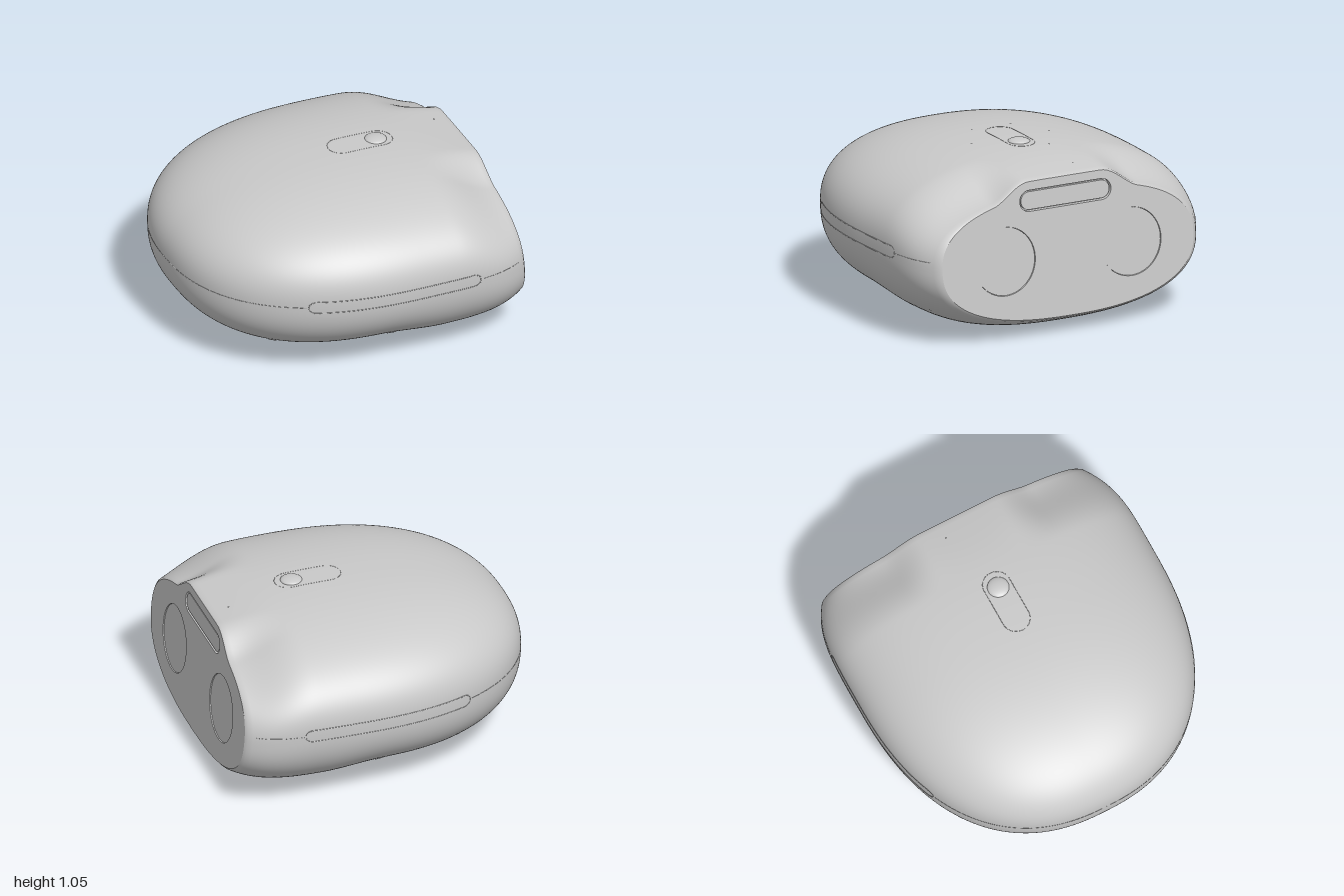
import * as THREE from 'three';
import { mergeGeometries, toCreasedNormals } from 'three/addons/utils/BufferGeometryUtils.js';

const { lerp, smoothstep } = THREE.MathUtils;
const V = (x, y, z) => new THREE.Vector3(x, y, z);

// Hull profiles along x: half width, top, bottom and height of the widest line
const END = 0.948, SLOPE = 0.088, P = 2.35, TOP_N = 2.35, BOTTOM_N = 2.45;
const HX = 0.03, HR = 0.445; // centre and radius of the opening underneath
const round = (s, n) => Math.pow(Math.max(0, 1 - Math.pow(Math.abs(s), n)), 1 / n);
const nose = (x, c, a) => round(Math.max(0, (c - x) / a), P);
const after = (x, c, len, p) => Math.pow(Math.max(0, (x - c) / len), p);
const width = x => Math.max(0.002, nose(x, 0.25, 1.25) - 0.13 * after(x, 0.25, 0.7, 4.2));
const topLine = x => 0.552 + 0.488 * nose(x, 0.15, 1.15) - 0.075 * after(x, 0.15, 0.8, 2.2);
const bottomLine = x => 0.548 - 0.498 * nose(x, -0.05, 0.95)
  - 0.04 * smoothstep(x, 0.05, 0.45) + 0.1 * after(x, 0.5, 0.448, 2.3);
const endBlend = x => smoothstep(x, 0.5, END);
const middle = x => lerp(0.55, 0.5, endBlend(x));

function bottomY(x, z) {
  const d = Math.hypot(x - HX, z);
  const rim = 0.018 * Math.exp(-(((d - HR) / 0.12) ** 2)) * z * z / (d * d + 0.001);
  return middle(x) - (middle(x) - bottomLine(x)) * round(z / width(x), BOTTOM_N) - rim;
}
function topY(x, z) {
  const t = endBlend(x), m = middle(x), h = topLine(x) - m, s = z / width(x);
  const low = m + lerp(h, 0.385, t) * round(s, TOP_N);
  const high = m + h * round(s * (1 - 0.7 * t), TOP_N);
  return lerp(low, high, 1 - smoothstep(Math.abs(z), 0.25, 0.5));
}
function sideZ(x, y) {
  const m = middle(x);
  return y > m ? width(x) * round((y - m) / (topLine(x) - m), TOP_N)
    : width(x) * round((m - y) / (m - bottomLine(x)), BOTTOM_N);
}
function hullPoint(x, a) {
  const z = width(x) * Math.cos(a);
  const y = Math.sin(a) >= 0 ? topY(x, z) : bottomY(x, z);
  return V(x + SLOPE * (0.53 - y) * endBlend(x), y, z);
}
// Rounded edge where the hull meets the tilted end plate
function endPoint(a) {
  const p = hullPoint(END, a);
  p.y = 0.52 + (p.y - 0.52) * 0.985;
  p.z *= 0.985;
  p.x = 0.995 - SLOPE * p.y;
  return p;
}

// Closed rings of points joined into a surface; skip() may drop triangles
function grid(rows, cols, point, skip = () => false) {
  const pts = [], index = [];
  for (let i = 0; i < rows; i++) for (let j = 0; j < cols; j++) pts.push(point(i, j));
  const add = (a, b, c) => { if (!skip(pts[a], pts[b], pts[c])) index.push(a, b, c); };
  for (let i = 0; i < rows - 1; i++) for (let j = 0; j < cols; j++) {
    const k = (j + 1) % cols, a = i * cols + j, b = i * cols + k;
    add(a, a + cols, b);
    add(b, a + cols, b + cols);
  }
  const g = new THREE.BufferGeometry().setFromPoints(pts);
  g.setIndex(index);
  g.computeVertexNormals();
  return g;
}

function stadium(Kind, cx, cy, half, r) {
  const s = new Kind();
  s.absarc(cx + half - r, cy, r, -Math.PI / 2, Math.PI / 2, false);
  s.absarc(cx - half + r, cy, r, Math.PI / 2, Math.PI * 1.5, false);
  s.closePath();
  return s;
}
function circle(Kind, cx, cy, r) {
  const s = new Kind();
  s.absarc(cx, cy, r, 0, Math.PI * 2, false);
  return s;
}
// Points along a stadium outline, without repeats
const loop = (cx, cy, half, r) => stadium(THREE.Path, cx, cy, half, r).getSpacedPoints(60).slice(0, -1)
  .filter((p, i, all) => i === 0 || p.distanceTo(all[i - 1]) > 0.003);
const tube = (pts, r, closed) =>
  new THREE.TubeGeometry(new THREE.CatmullRomCurve3(pts, closed), pts.length * 2, r, 5, closed);

// Small disc lying on the top (up = 1) or bottom (up = -1) surface
function disc(x, z, r, surface, up, segments) {
  const e = 0.004;
  const n = V(-(surface(x + e, z) - surface(x - e, z)) / (2 * e), 1,
    -(surface(x, z + e) - surface(x, z - e)) / (2 * e)).normalize().multiplyScalar(up);
  const g = new THREE.CircleGeometry(r, segments);
  g.applyQuaternion(new THREE.Quaternion().setFromUnitVectors(V(0, 0, 1), n));
  return g.translate(x + n.x * 0.003, surface(x, z) + n.y * 0.003, z + n.z * 0.003);
}

export function createModel() {
  const group = new THREE.Group();
  const shell = new THREE.MeshStandardMaterial({ color: 0xc9c9c9, side: THREE.DoubleSide });
  shell.name = 'shellGrey';
  const add = (name, geo, parent = group) => {
    const mesh = new THREE.Mesh(geo, shell);
    mesh.name = name;
    parent.add(mesh);
  };

  // Hull with a round opening underneath; angles are spread evenly along the rounded section
  const ROWS = 120, COLS = 180;
  add('hull', grid(ROWS + 1, COLS, (i, j) => {
    const a = j / COLS * Math.PI * 2;
    if (i === ROWS) return endPoint(a);
    const p = hullPoint(-1 + (END - 0.012 + 1) * Math.pow(i / (ROWS - 1), 1.6), a);
    const d = Math.hypot(p.x - HX, p.z);
    if (p.y < 0.35 && Math.abs(d - HR) < 0.022) {
      p.x = HX + (p.x - HX) * HR / d;
      p.z *= HR / d;
      p.y = bottomY(p.x, p.z);
    }
    return p;
  }, (a, b, c) => a.y < 0.35 && Math.hypot((a.x + b.x + c.x) / 3 - HX, (a.z + b.z + c.z) / 3) < HR - 0.003));

  // Tilted end plate with two round recesses and a slot
  const facePlane = new THREE.Matrix4().set(0, -SLOPE, 1, 0.995, 0, 1, 0, 0, -1, 0, 0, 0, 0, 0, 0, 1);
  const plate = (name, shape, front, depth) => add(name,
    new THREE.ExtrudeGeometry(shape, { depth, bevelEnabled: false, curveSegments: 40 })
      .translate(0, 0, front - depth).applyMatrix4(facePlane));
  const outline = [];
  for (let j = 0; j < COLS; j++) {
    const p = endPoint(j / COLS * Math.PI * 2);
    outline.push(new THREE.Vector2(-p.z, p.y));
  }
  const face = new THREE.Shape(outline);
  for (const s of [-1, 1]) {
    face.holes.push(circle(THREE.Path, s * 0.43, 0.5, 0.207));
    plate('roundPanel', circle(THREE.Shape, s * 0.43, 0.5, 0.205), -0.006, 0.02);
  }
  face.holes.push(stadium(THREE.Path, 0, 0.842, 0.312, 0.064));
  plate('slotPanel', stadium(THREE.Shape, 0, 0.842, 0.302, 0.054), -0.004, 0.02);
  plate('endPlate', face, 0, 0.03);
  add('endBacking', new THREE.ShapeGeometry(new THREE.Shape(outline))
    .translate(0, 0, -0.03).applyMatrix4(facePlane));

  // Lip and cavity of the opening: [radius, rise, flatness]
  const ringGrid = rings => grid(rings.length, 80, (i, j) => {
    const [r, off, flat] = rings[i], a = j / 80 * Math.PI * 2;
    const x = HX + r * Math.cos(a), z = r * Math.sin(a);
    return V(x, lerp(bottomY(x, z) + off, 0.36, flat), z);
  });
  add('openingLip', ringGrid([[0.47, -0.001, 0], [0.455, -0.001, 0], [0.44, 0.008, 0],
    [0.425, 0.025, 0], [0.41, 0.05, 0], [0.4, 0.085, 0]]));
  add('cavity', toCreasedNormals(ringGrid([[0.4, 0.085, 0], [0.42, 0, 1], [0.01, 0, 1]]), 0.6));

  // Hub, spokes and bracket inside the cavity
  const rotor = new THREE.Group();
  rotor.name = 'rotor';
  rotor.position.set(HX, 0.27, 0);
  group.add(rotor);
  add('hub', new THREE.CylinderGeometry(0.06, 0.08, 0.16, 32), rotor);
  add('hubRing', new THREE.TorusGeometry(0.11, 0.012, 8, 40).rotateX(Math.PI / 2), rotor);
  for (let i = 0; i < 8; i++) {
    const spoke = new THREE.BoxGeometry(0.33, 0.03, 0.012).translate(0.23, 0.05, 0);
    add('spoke', spoke.rotateY(i * Math.PI / 4 + 0.3), rotor);
  }
  for (const s of [-1, 1])
    add('bracket', new THREE.BoxGeometry(0.3, 0.05, 0.03).rotateZ(0.2).translate(-0.2, -0.04, s * 0.07), rotor);

  // Outlined strips and seam lines
  for (const s of [-1, 1]) {
    add('sideStrip', tube(loop(0.075, 0.548, 0.535, 0.037)
      .map(p => V(p.x, p.y, s * sideZ(p.x, p.y))), 0.0025, true));
    const seam = [];
    for (let x = 0.62; x < 0.9; x += 0.045) seam.push(V(x, 0.548, s * sideZ(x, 0.548)));
    add('rearSeam', tube(seam, 0.001, false));
  }
  add('topStrip', tube(loop(0.265, 0, 0.205, 0.085).map(p => V(p.x, topY(p.x, p.y), p.y)), 0.0015, true));
  const noseSeam = [];
  for (let i = -20; i <= 20; i++) {
    const x = -0.999 + 0.53 * (i / 20) ** 2;
    noseSeam.push(V(x, 0.549, Math.sign(i) * width(x)));
  }
  add('noseSeam', tube(noseSeam, 0.0015, false));

  // Domed button
  add('button', new THREE.SphereGeometry(0.066, 36, 12, 0, Math.PI * 2, 0, Math.PI / 2)
    .scale(1, 0.32, 1).translate(0.367, topY(0.367, 0) - 0.002, 0));

  // Pinholes around the top strip
  const pins = [disc(0.8, -0.12, 0.006, topY, 1, 8)];
  for (let i = 0; i < 6; i++) {
    const a = Math.PI / 6 + i * Math.PI / 3;
    pins.push(disc(0.267 + 0.265 * Math.cos(a), 0.265 * Math.sin(a), 0.007, topY, 1, 8));
  }
  add('topPinholes', mergeGeometries(pins));

  // Ports around the lower edge
  const ports = [disc(0.77, 0, 0.026, bottomY, -1, 24)];
  for (const x of [-0.58, 0.1, 0.77]) for (const s of [-1, 1])
    ports.push(disc(x, s * sideZ(x, 0.22), 0.031, bottomY, -1, 24));
  add('lowerPorts', mergeGeometries(ports));

  // Perforations behind the opening
  const dots = [];
  for (let i = 0; i < 6; i++) for (let j = -9; j <= 9; j++) {
    const r = 0.5 + i * 0.034, a = Math.PI + (j + (i % 2) / 2) * 0.065;
    dots.push(disc(HX + r * Math.cos(a), r * Math.sin(a), 0.0055, bottomY, -1, 6));
  }
  add('perforations', mergeGeometries(dots));
  return group;
}
